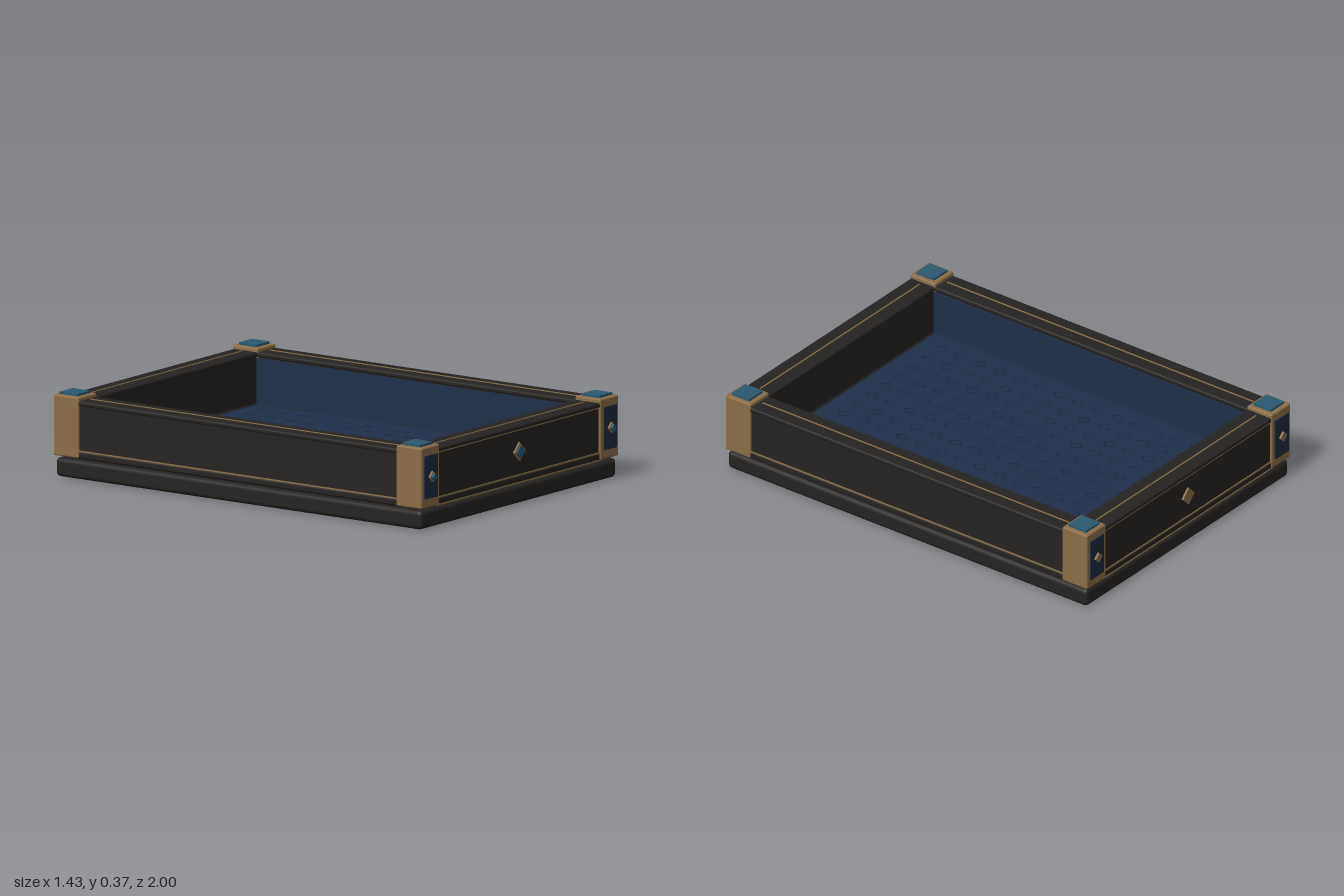
import * as THREE from 'three';
import { RoundedBoxGeometry } from 'three/addons/geometries/RoundedBoxGeometry.js';
import { mergeGeometries } from 'three/addons/utils/BufferGeometryUtils.js';

const material = (color) => new THREE.MeshStandardMaterial({ color });
const dark = material(0x262422);
const brass = material(0x8a6e48);
const navy = material(0x1f3049);
const panelBlue = material(0x1f2a3c);
const teal = material(0x2a5a70);
const patternBlue = material(0x1b2a41);

export function createModel() {
  const model = new THREE.Group();
  model.name = 'tray';
  const body = new THREE.Group();
  body.name = 'body';
  body.position.z = -0.005;
  model.add(body);

  // Box by size and centre; a radius rounds its edges
  function box(name, mat, size, pos, radius = 0) {
    const geometry = radius
      ? new RoundedBoxGeometry(...size, 3, radius)
      : new THREE.BoxGeometry(...size);
    const mesh = new THREE.Mesh(geometry, mat);
    mesh.name = name;
    mesh.position.set(...pos);
    body.add(mesh);
    return mesh;
  }

  // Thin square plate standing on its corner, facing z
  function diamond(name, mat, halfDiagonal, depth, pos) {
    const side = halfDiagonal * Math.SQRT2;
    box(name, mat, [side, side, depth], pos).rotation.z = Math.PI / 4;
  }

  // Plinth and lined floor
  box('base', dark, [1.42, 0.083, 1.946], [0, 0.0415, 0], 0.02);
  box('floorCore', dark, [1.36, 0.04, 1.88], [0, 0.085, 0]);
  box('floorLining', navy, [1.18, 0.03, 1.72], [0, 0.1, 0]);

  // Embossed diamond pattern on the floor
  const outlines = [];
  for (let row = -7; row <= 7; row++) {
    for (let col = -5; col <= 5; col++) {
      const outline = new THREE.TorusGeometry(0.028, 0.0025, 4, 4);
      outline.rotateX(-Math.PI / 2);
      outline.scale(0.85, 0.6, 1.1);
      outline.translate(col * 0.0985, 0.115, row * 0.106 - 0.002);
      outlines.push(outline);
    }
  }
  const pattern = new THREE.Mesh(mergeGeometries(outlines), patternBlue);
  pattern.name = 'floorPattern';
  body.add(pattern);

  // Front and back walls with rails and brass inlay lines
  for (const s of [1, -1]) {
    const z = s * 0.911;
    box('endWall', dark, [1.2, 0.25, 0.12], [0, 0.215, z], 0.006);
    box('endTopRail', dark, [1.2, 0.022, 0.13], [0, 0.332, z], 0.008);
    box('endFootRail', dark, [1.2, 0.03, 0.128], [0, 0.108, z], 0.008);
    box('endTopInlay', brass, [1.12, 0.006, 0.006], [0, 0.343, z]);
    for (const y of [0.323, 0.125, 0.092]) {
      box('endInlay', brass, [1.19, 0.006, 0.006], [0, y, s * 0.972]);
    }
    diamond('centreMedallion', brass, 0.041, 0.012, [0, 0.228, s * 0.974]);
  }
  diamond('centreGem', teal, 0.03, 0.012, [0, 0.228, 0.98]);

  // Side walls with rails, brass inlay lines and blue inner lining
  for (const s of [1, -1]) {
    const x = s * 0.647;
    box('sideWall', dark, [0.12, 0.25, 1.74], [x, 0.215, 0], 0.006);
    box('sideTopRail', dark, [0.13, 0.022, 1.74], [x, 0.332, 0], 0.008);
    box('sideFootRail', dark, [0.128, 0.03, 1.74], [x, 0.108, 0], 0.008);
    box('sideLining', navy, [0.008, 0.2, 1.7], [s * 0.584, 0.218, 0]);
    box('sideTopInlay', brass, [0.006, 0.006, 1.66], [x, 0.343, 0]);
    for (const y of [0.327, 0.125]) {
      box('sideInlay', brass, [0.006, 0.006, 1.74], [s * 0.707, y, 0]);
    }
  }

  // Brass corner posts with caps, panels and diamond studs
  for (const sx of [1, -1]) {
    for (const sz of [1, -1]) {
      const x = sx * 0.648;
      const z = sz * 0.912;
      box('cornerPost', brass, [0.135, 0.267, 0.135], [x, 0.2265, z], 0.008);
      box('capInlay', teal, [0.094, 0.02, 0.094], [x, 0.36, z]);
      box('postPanel', panelBlue, [0.092, 0.188, 0.016], [x, 0.228, sz * 0.977]);
      diamond('postStud', brass, 0.024, 0.012, [x, 0.228, sz * 0.989]);
      if (sz > 0) diamond('postGem', teal, 0.016, 0.012, [x, 0.228, 0.999]);
    }
  }
  return model;
}
